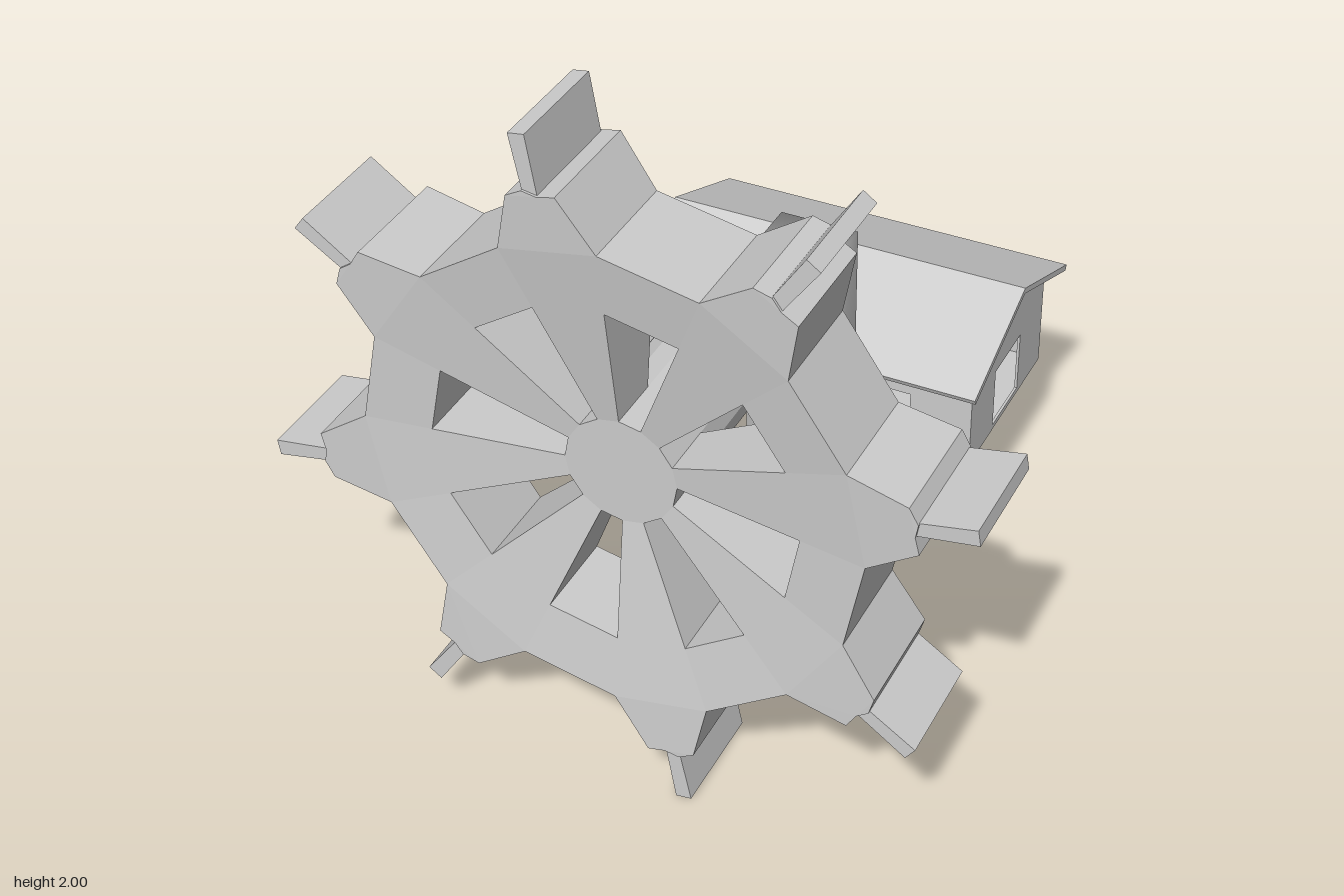
import * as THREE from 'three';
import { mergeVertices } from 'three/addons/utils/BufferGeometryUtils.js';

const material = new THREE.MeshStandardMaterial({ color: 0xcccccc, flatShading: true });
const smoothMaterial = new THREE.MeshStandardMaterial({ color: 0xcccccc });

const toVectors = (points) => points.map(([x, y]) => new THREE.Vector2(x, y));
const rect = (x0, x1, y0, y1) => [[x0, y0], [x1, y0], [x1, y1], [x0, y1]];

function extrude(points, depth, holes = []) {
  const shape = new THREE.Shape(toVectors(points));
  shape.holes = holes.map((hole) => new THREE.Path(toVectors(hole)));
  return new THREE.ExtrudeGeometry(shape, { depth, bevelEnabled: false });
}

// Wheel piece centred on z = 0 whose half depth depends on the radius
function wheelPiece(points, halfDepth) {
  const geometry = extrude(points, 2).translate(0, 0, -1);
  const p = geometry.attributes.position;
  for (let i = 0; i < p.count; i++) {
    p.setZ(i, p.getZ(i) * halfDepth(Math.hypot(p.getX(i), p.getY(i))));
  }
  geometry.computeVertexNormals();
  return geometry;
}

function add(parent, name, geometry, mat = material) {
  const mesh = new THREE.Mesh(geometry, mat);
  mesh.name = name;
  parent.add(mesh);
  return mesh;
}

function createWheel() {
  const wheel = new THREE.Group();
  wheel.name = 'waterWheel';
  wheel.position.set(0, 1, 0.77);
  const rHub = 0.16, rInner = 0.522, rRim = 0.708;
  const polar = (r, i) => [r * Math.cos(i * Math.PI / 8), r * Math.sin(i * Math.PI / 8)];
  const sector = (r0, r1, i) => [polar(r0, i), polar(r1, i), polar(r1, i + 1), polar(r0, i + 1)];

  // Rim and spokes get thinner towards the hub
  const dished = (r) => 0.08 + (0.158 - 0.08) * (r - rHub) / (rRim - rHub);
  const spoke = wheelPiece(sector(rHub, rRim, 4), dished);
  const rim = wheelPiece(sector(rInner, rRim, 3), dished);

  // Tooth blocks swell slightly away from the rim
  const tooth = wheelPiece(
    [polar(rRim, 4), [-0.1, 0.85], [-0.15, 0.838], [-0.19, 0.845], [-0.235, 0.82], polar(rRim, 5)],
    (r) => (r > 0.8 ? 0.167 : 0.158),
  );
  const paddle = wheelPiece([[-0.15, 0.835], [-0.177, 1], [-0.222, 0.993], [-0.19, 0.835]], () => 0.16);

  for (let i = 0; i < 8; i++) {
    const arm = new THREE.Group();
    arm.name = 'wheelArm';
    arm.rotation.z = i * Math.PI / 4;
    add(arm, 'spoke', spoke);
    add(arm, 'rimSegment', rim);
    add(arm, 'tooth', tooth);
    add(arm, 'paddle', paddle);
    wheel.add(arm);
  }
  return wheel;
}

function createHouse() {
  const house = new THREE.Group();
  house.name = 'house';
  const t = 0.008;

  // Long walls with two small windows each
  const windows = [rect(-0.235, -0.135, 0.51, 0.575), rect(0.235, 0.335, 0.51, 0.575)];
  for (const [name, z] of [['frontWall', -0.282 - t], ['backWall', -0.858]]) {
    add(house, name, extrude(rect(-0.525, 0.525, 0.378, 0.698), t, windows).translate(0, 0, z));
  }

  // Gable walls: a tall opening on the left, a small window on the right
  const gable = [[0.282, 0.378], [0.858, 0.378], [0.858, 0.7], [0.57, 0.816], [0.282, 0.7]];
  const ends = [
    ['leftGable', 0.525 - t, rect(0.47, 0.67, 0.395, 0.59)],
    ['rightGable', -0.525, rect(0.47, 0.67, 0.48, 0.59)],
  ];
  for (const [name, x, hole] of ends) {
    add(house, name, extrude(gable, t, [hole]).rotateY(Math.PI / 2).translate(x, 0, 0));
  }
  add(house, 'floor', new THREE.BoxGeometry(1.05, t, 0.576)).position.set(0, 0.378 + t / 2, -0.57);

  // Pitched roof with overhanging eaves
  const roof = [[0.195, 0.684], [0.203, 0.667], [0.572, 0.815], [0.938, 0.667], [0.946, 0.684], [0.572, 0.834]];
  add(house, 'roof', extrude(roof, 1.13).rotateY(Math.PI / 2).translate(-0.566, 0, 0));
  return house;
}

export function createModel() {
  const model = new THREE.Group();
  model.name = 'waterMill';
  model.add(createWheel(), createHouse());

  // Hub running through the wheel, and the axle behind it
  const hub = new THREE.CylinderGeometry(0.16, 0.16, 0.62, 16).rotateX(Math.PI / 2);
  add(model, 'hub', hub).position.set(0, 1, 0.54);
  const axle = new THREE.CylinderGeometry(0.058, 0.058, 0.28, 20).rotateX(Math.PI / 2);
  add(model, 'axle', axle, smoothMaterial).position.set(0.021, 1.018, 0.1);

  // Square post shaded softly across its corners
  let post = new THREE.BoxGeometry(0.236, 0.717, 0.236);
  post.deleteAttribute('normal');
  post.deleteAttribute('uv');
  post = mergeVertices(post);
  post.computeVertexNormals();
  add(model, 'post', post, smoothMaterial).position.set(0.045, 0.738, -0.155);
  return model;
}
